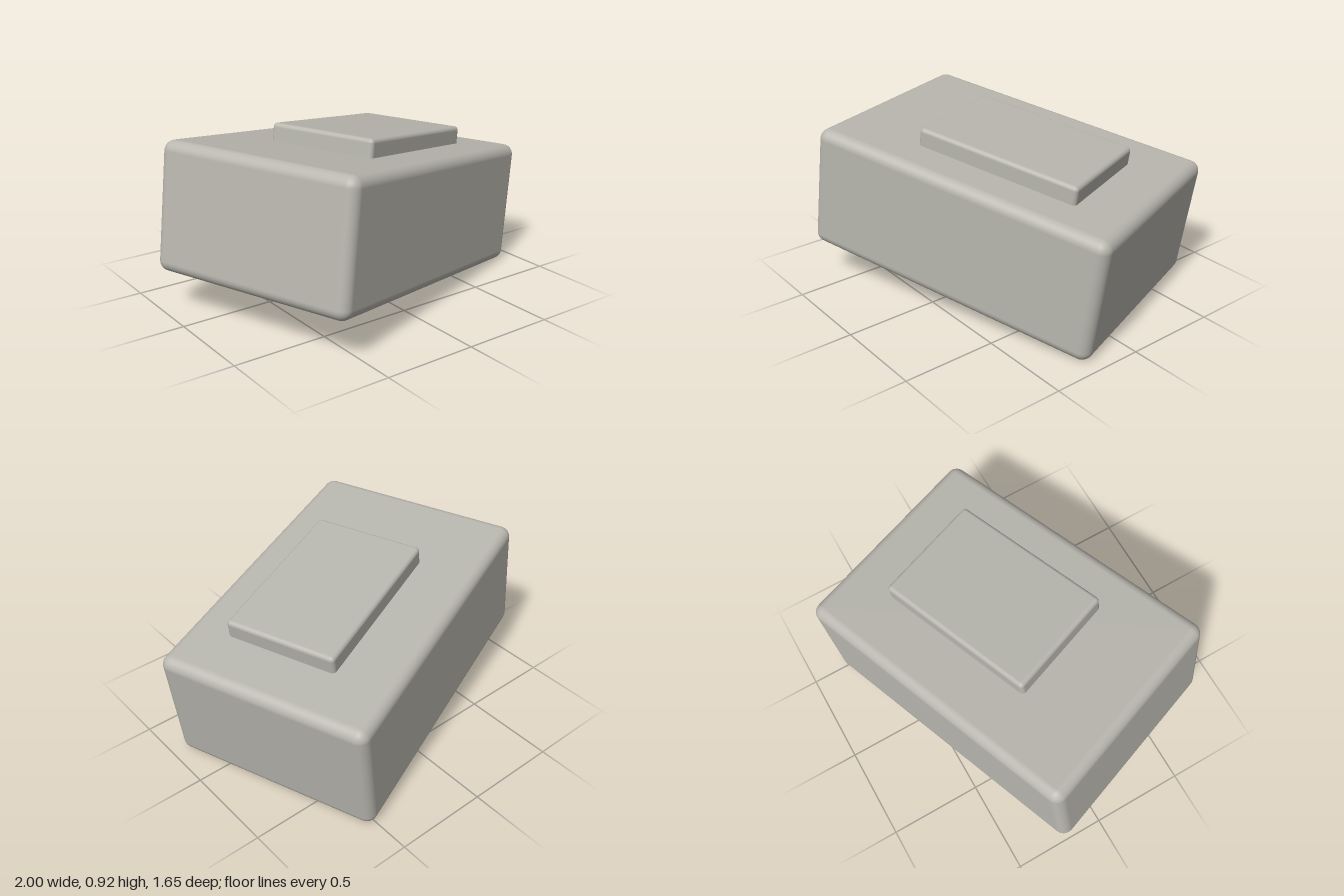
import * as THREE from 'three';
import { RoundedBoxGeometry } from 'three/addons/geometries/RoundedBoxGeometry.js';

export function createModel() {
  const model = new THREE.Group();
  model.name = 'tiltedBlock';
  const stoneGrey = new THREE.MeshStandardMaterial({ color: 0xb8b6ae });
  stoneGrey.name = 'stoneGrey';

  // Whole block is turned about the vertical, then tipped down toward its right end
  const block = new THREE.Group();
  block.name = 'block';
  block.position.y = 0.442;
  block.rotation.set(0, THREE.MathUtils.degToRad(20), THREE.MathUtils.degToRad(-8), 'YZX');
  model.add(block);

  const addRoundedBox = (name, size, radius, position) => {
    const mesh = new THREE.Mesh(new RoundedBoxGeometry(...size, 5, radius), stoneGrey);
    mesh.name = name;
    mesh.position.set(...position);
    block.add(mesh);
  };

  // Main body
  addRoundedBox('body', [1.68, 0.672, 1.155], 0.057, [0, 0, 0]);
  // Raised slab, sunk slightly into the top face
  addRoundedBox('topSlab', [0.91, 0.15, 0.61], 0.022, [0.093, 0.355, 0.047]);

  return model;
}
